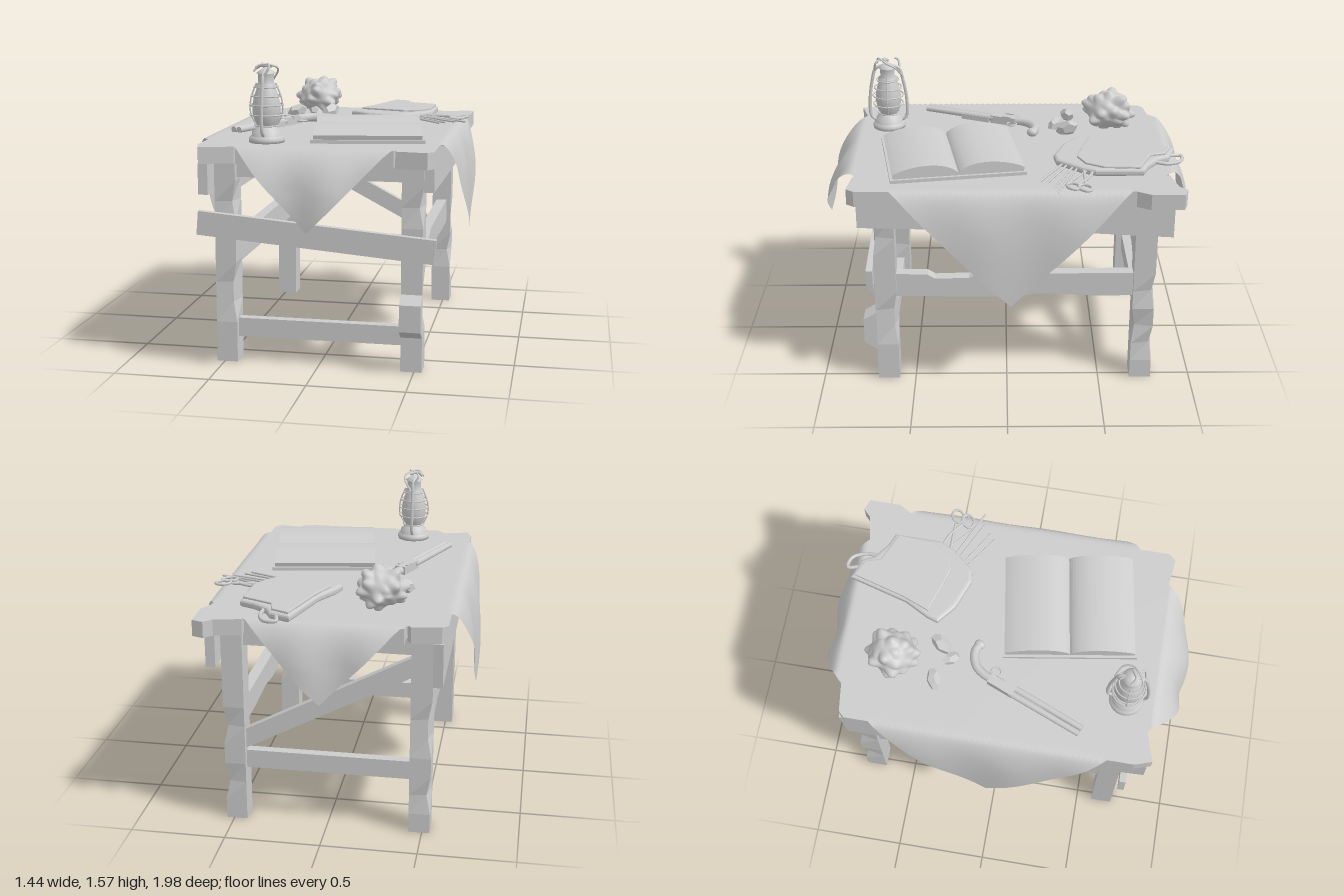
import * as THREE from 'three';
import { mergeVertices } from 'three/addons/utils/BufferGeometryUtils.js';

const V = (x, y, z) => new THREE.Vector3(x, y, z);
const flat = new THREE.MeshStandardMaterial({ color: 0xcccccc, flatShading: true });
const smooth = new THREE.MeshStandardMaterial({ color: 0xcccccc });
const thin = new THREE.MeshStandardMaterial({ color: 0xcccccc, side: THREE.DoubleSide });
const TOP = 1.165;

function add(parent, name, geo, mat = flat) {
  const mesh = new THREE.Mesh(geo, mat);
  mesh.name = name;
  parent.add(mesh);
  return mesh;
}
function group(parent, name, x, y, z, ry = 0) {
  const g = new THREE.Group();
  g.name = name;
  g.position.set(x, y, z);
  g.rotation.y = ry;
  parent.add(g);
  return g;
}
const polygon = pts => new THREE.Shape(pts.map(p => new THREE.Vector2(p[0], p[1])));
// plate outlined in (x, z), rising from y0
function plate(pts, y0, h, bevel = 0) {
  const g = new THREE.ExtrudeGeometry(polygon(pts.map(([x, z]) => [x, -z])), {
    depth: h - 2 * bevel, bevelEnabled: bevel > 0, bevelSize: bevel * 1.5,
    bevelThickness: bevel, bevelOffset: -bevel * 1.5, bevelSegments: 3 });
  return g.rotateX(-Math.PI / 2).translate(0, y0 + bevel, 0);
}
// board outlined in (z, y), centred on x
function sideBoard(pts, x, t) {
  const g = new THREE.ExtrudeGeometry(polygon(pts), { depth: t, bevelEnabled: false });
  return g.rotateY(-Math.PI / 2).translate(x + t / 2, 0, 0);
}
// straight beam between two points
function beam(parent, name, a, b, h, d) {
  const dir = b.clone().sub(a);
  const m = add(parent, name, new THREE.BoxGeometry(dir.length(), h, d));
  m.position.copy(a).add(b).multiplyScalar(0.5);
  m.quaternion.setFromUnitVectors(V(1, 0, 0), dir.normalize());
}
function rod(parent, name, pts, r, n = 24) {
  return add(parent, name, new THREE.TubeGeometry(new THREE.CatmullRomCurve3(pts), n, r, 8), smooth);
}
function ring(parent, name, r, t, x, y, z) {
  const m = add(parent, name, new THREE.TorusGeometry(r, t, 8, 28).rotateX(Math.PI / 2), smooth);
  m.position.set(x, y, z);
  return m;
}

// square leg with a few chipped corners
function leg(parent, x, z, chips) {
  const geo = new THREE.BoxGeometry(0.11, 1.07, 0.115, 1, 10, 1), p = geo.attributes.position;
  for (let i = 0; i < p.count; i++) {
    const row = Math.round((p.getY(i) / 1.07 + 0.5) * 10);
    for (const [r, sx, sz] of chips)
      if (r === row && Math.sign(p.getX(i)) === sx && Math.sign(p.getZ(i)) === sz) {
        p.setX(i, p.getX(i) * 0.62);
        p.setZ(i, p.getZ(i) * 0.72);
      }
  }
  add(parent, 'leg', geo).position.set(x, 0.535, z);
}

function buildTable(root) {
  const t = group(root, 'table', 0, 0, 0);
  // planks running front to back, outer ones with chipped corners
  const planks = [
    [[-0.61, -0.78], [-0.58, -0.81], [-0.43, -0.83], [-0.41, -0.8], [-0.41, 0.79], [-0.58, 0.84], [-0.61, 0.75]],
    [[0.41, -0.85], [0.55, -0.88], [0.59, -0.92], [0.65, -0.9], [0.65, -0.73], [0.61, -0.66], [0.6, 0.78], [0.57, 0.82], [0.41, 0.8]]];
  for (let i = 0; i < 4; i++) {
    const x = -0.4 + i * 0.2025, e = 0.015 * (i % 2);
    planks.push([[x, -0.86 + e], [x + 0.192, -0.86 + e], [x + 0.192, 0.8 - e], [x, 0.8 - e]]);
  }
  planks.forEach(p => add(t, 'plank', plate(p, 1.07, 0.085)));
  // legs
  leg(t, -0.485, 0.645, [[4, 1, 1], [3, 1, 1], [8, 1, 1]]);
  leg(t, 0.485, 0.645, [[4, 1, -1], [3, 1, -1], [8, 1, 1]]);
  leg(t, -0.485, -0.73, [[2, -1, -1], [5, -1, -1], [6, -1, -1]]);
  leg(t, 0.485, -0.73, [[2, 1, -1], [5, 1, -1], [3, 1, 1]]);
  // long rails and aprons down each side
  for (const s of [-1, 1])
    add(t, 'sideRail', sideBoard([[0.6, 0.5], [-0.03, 0.495], [-0.18, 0.515], [-0.45, 0.5], [-0.68, 0.5],
      [-0.68, 0.635], [0.15, 0.635], [0.2, 0.61], [0.38, 0.605], [0.42, 0.63], [0.6, 0.635]], s * 0.485, 0.06));
  add(t, 'sideApron', sideBoard([[0.77, 0.95], [-0.35, 0.92], [-0.86, 0.89], [-0.86, 1.07], [0.77, 1.07]], 0.575, 0.05));
  add(t, 'sideApron', sideBoard([[0.82, 0.91], [0.26, 0.84], [-0.8, 0.83], [-0.82, 1.07], [0.82, 1.07]], -0.565, 0.05));
  // cross members
  for (const z of [0.645, -0.73]) beam(t, 'endApron', V(-0.44, 1.025, z), V(0.44, 1.025, z), 0.09, 0.05);
  beam(t, 'frontRail', V(-0.44, 0.18, 0.645), V(0.44, 0.18, 0.645), 0.1, 0.05);
  beam(t, 'backRail', V(-0.44, 0.34, -0.73), V(0.44, 0.34, -0.73), 0.1, 0.05);
  beam(t, 'backBrace', V(-0.47, 0.93, -0.73), V(0.47, 0.435, -0.73), 0.095, 0.045);
  beam(t, 'frontBoard', V(-0.625, 0.745, 0.72), V(0.605, 0.64, 0.72), 0.125, 0.035);
  add(t, 'legBlock', sideBoard([[0.7, 0.18], [0.77, 0.23], [0.77, 0.37], [0.7, 0.41]], 0.485, 0.11));
}

// diamond-laid square cloth, bent down past the table edges
function buildCloth(root) {
  const geo = new THREE.PlaneGeometry(2, 2, 80, 80), p = geo.attributes.position;
  const R = 1.24, fall = o => o * (1 - 0.4 * Math.exp(-o / 0.06));
  for (let i = 0; i < p.count; i++) {
    const a = p.getX(i), b = p.getY(i);
    let x = R * (a + b) / 2, z = R * (a - b) / 2 - 0.02, y = TOP;
    const ox = Math.abs(x) - 0.62, oz = z > 0 ? z - 0.82 : -z - 0.87;
    if (ox > 0) {
      y -= fall(ox);
      x = Math.sign(x) * (0.62 + 0.095 * (1 - Math.exp(-ox / 0.13)) + 0.008 * Math.sin(z * 13) * Math.min(1, ox * 5));
    }
    if (oz > 0) {
      y -= fall(oz);
      const flare = z > 0 ? 0.165 : 0.12;
      z = Math.sign(z) * (Math.abs(z) - oz + flare * (1 - Math.exp(-oz / 0.12)) + 0.015 * Math.sin(x * 17) * Math.min(1, oz * 5));
    }
    p.setXYZ(i, x, y, z);
  }
  geo.computeVertexNormals();
  add(root, 'tablecloth', geo, thin);
}

function buildBook(root) {
  const b = group(root, 'openBook', 0.19, TOP, 0.29, 0.157);
  add(b, 'cover', new THREE.BoxGeometry(0.58, 0.018, 0.71)).position.y = 0.009;
  for (const s of [-1, 1]) {
    const sh = new THREE.Shape().moveTo(0, 0.018);
    sh.lineTo(s * 0.34, 0.018).lineTo(s * 0.345, 0.04);
    sh.bezierCurveTo(s * 0.25, 0.09, s * 0.06, 0.105, 0, 0.03);
    const g = new THREE.ExtrudeGeometry(sh, { depth: 0.55, bevelEnabled: false, curveSegments: 20 });
    add(b, 'pages', g.rotateY(-Math.PI / 2).translate(0.275, 0, 0), smooth);
  }
}

function buildLantern(root) {
  const l = group(root, 'lantern', -0.27, TOP, 0.66);
  const lathe = (name, pts) => add(l, name,
    new THREE.LatheGeometry(pts.map(p => new THREE.Vector2(p[0], p[1])), 28), thin);
  lathe('fuelTank', [[0, 0], [0.09, 0], [0.092, 0.015], [0.085, 0.03], [0.075, 0.034], [0.074, 0.055], [0.05, 0.075], [0.045, 0.085]]);
  lathe('globe', [[0.045, 0.08], [0.062, 0.11], [0.07, 0.15], [0.071, 0.19], [0.06, 0.24], [0.045, 0.28]]);
  lathe('chimney', [[0.052, 0.275], [0.054, 0.29], [0.04, 0.3], [0.04, 0.345], [0.05, 0.35], [0.03, 0.365], [0.012, 0.375], [0, 0.375]]);
  for (const [y, r] of [[0.085, 0.06], [0.14, 0.083], [0.19, 0.085], [0.235, 0.075], [0.28, 0.06]])
    ring(l, 'guardRing', r, 0.004, 0, y, 0);
  // side tubes and guard wires
  for (const s of [-1, 1]) {
    rod(l, 'sideTube', [V(0, 0.04, s * 0.07), V(0, 0.06, s * 0.098), V(0, 0.16, s * 0.103), V(0, 0.28, s * 0.085),
      V(0, 0.345, s * 0.065), V(0, 0.36, s * 0.03)], 0.009);
    rod(l, 'guardWire', [V(s * 0.055, 0.085, 0), V(s * 0.083, 0.15, 0), V(s * 0.08, 0.22, 0), V(s * 0.05, 0.3, 0)], 0.004);
    rod(l, 'handleEnd', [V(0, 0.33, s * 0.07), V(s * 0.03, 0.385, s * 0.06), V(s * 0.02, 0.4, s * 0.04)], 0.006);
  }
  rod(l, 'handle', [V(0.01, 0.3, -0.085), V(0.05, 0.36, -0.05), V(0.045, 0.385, 0), V(-0.02, 0.395, 0.05), V(-0.05, 0.36, 0.06)], 0.005);
  rod(l, 'topLoop', [V(-0.05, 0.375, 0), V(-0.02, 0.39, 0.02), V(0.03, 0.385, 0)], 0.009);
}

// knobbly clump with loose pieces beside it
function buildClump(root) {
  const c = group(root, 'knobblyClump', -0.25, TOP + 0.095, -0.58);
  const knobs = Array.from({ length: 38 }, (_, i) => {
    const y = 1 - 2 * (i + 0.5) / 38, r = Math.sqrt(1 - y * y), a = i * 2.4 + Math.sin(i * 7) * 0.3;
    return { d: V(Math.cos(a) * r, y, Math.sin(a) * r), h: 0.2 + 0.13 * Math.sin(i * 5.3) };
  });
  let geo = new THREE.SphereGeometry(1, 64, 44);
  geo.deleteAttribute('uv');
  geo.deleteAttribute('normal');
  geo = mergeVertices(geo, 1e-4);
  const p = geo.attributes.position, v = V(0, 0, 0);
  for (let i = 0; i < p.count; i++) {
    v.fromBufferAttribute(p, i).normalize();
    const bump = Math.max(...knobs.map(k => k.h * Math.exp(-v.distanceToSquared(k.d) / 0.06)));
    v.multiplyScalar(0.82 + bump);
    p.setXYZ(i, v.x * 0.13, v.y * (v.y > 0 ? 0.128 : 0.1), v.z * 0.145);
  }
  geo.computeVertexNormals();
  add(c, 'clump', geo, smooth);
  [[-0.34, -0.35, 0.4, 1], [-0.14, -0.34, 1.1, 1.15], [-0.21, -0.28, 2.3, 0.9]].forEach(([x, z, a, s]) => {
    const m = add(root, 'loosePiece', new THREE.DodecahedronGeometry(1, 0));
    m.scale.set(0.062 * s, 0.038 * s, 0.036 * s);
    m.position.set(x, TOP + 0.036, z);
    m.rotation.set(0.2, a, 0.25);
  });
}

function buildGun(root) {
  const g = group(root, 'shortShotgun', -0.28, TOP + 0.024, -0.06, -0.39);
  for (const s of [-1, 1]) {
    const barrel = add(g, 'barrel', new THREE.CylinderGeometry(0.016, 0.018, 0.42, 16).rotateX(Math.PI / 2), smooth);
    barrel.position.set(s * 0.017, 0.004, 0.34);
    const hammer = add(g, 'hammer', new THREE.BoxGeometry(0.012, 0.02, 0.05));
    hammer.position.set(s * 0.026, 0.018, 0.05);
  }
  add(g, 'receiver', new THREE.BoxGeometry(0.062, 0.044, 0.15)).position.z = 0.075;
  add(g, 'foreEnd', new THREE.BoxGeometry(0.048, 0.03, 0.17)).position.set(0.012, -0.006, 0.24);
  // curved grip, swelling toward the butt
  const path = [V(0, 0, 0.03), V(0, 0, -0.04), V(0.015, 0, -0.09), V(0.05, 0, -0.128), V(0.095, 0, -0.148), V(0.13, 0, -0.145)];
  rod(g, 'grip', path, 0.024);
  const butt = add(g, 'butt', new THREE.SphereGeometry(0.03, 16, 12), smooth);
  butt.position.copy(path[5]);
  butt.scale.set(0.8, 0.8, 1);
  ring(g, 'triggerGuard', 0.026, 0.005, 0.045, -0.004, 0.01);
}

function buildPouch(root) {
  const k = group(root, 'toolPouch', 0, 0, 0);
  add(k, 'pouchBody', plate([[0.16, -0.9], [0.27, -0.86], [0.3, -0.8], [0.38, -0.74], [0.45, -0.71], [0.45, -0.46], [0.41, -0.38],
    [0.31, -0.26], [0.24, -0.25], [0.08, -0.31], [-0.02, -0.39], [0.0, -0.45], [0.07, -0.58]], TOP, 0.042, 0.014));
  add(k, 'flap', plate([[0.17, -0.88], [0.26, -0.84], [0.28, -0.76], [0.37, -0.72], [0.44, -0.69], [0.43, -0.5], [0.38, -0.41],
    [0.29, -0.37], [0.18, -0.4], [0.03, -0.45], [0.09, -0.6]], TOP + 0.038, 0.016, 0.005));
  rod(k, 'strap', [V(0.23, 1.19, -0.87), V(0.22, 1.185, -0.93), V(0.28, 1.18, -0.92), V(0.315, 1.18, -0.85), V(0.31, 1.19, -0.77)], 0.01);
  // scissors
  rod(k, 'scissorBlade', [V(0.38, 1.19, -0.46), V(0.5, 1.185, -0.42), V(0.58, 1.182, -0.36)], 0.008);
  rod(k, 'scissorBlade', [V(0.38, 1.19, -0.4), V(0.48, 1.185, -0.4), V(0.57, 1.182, -0.4)], 0.008);
  for (const [x, z] of [[0.62, -0.395], [0.6, -0.335]]) {
    const r = ring(k, 'scissorHandle', 0.04, 0.008, x, 1.182, z);
    r.scale.z = 0.75;
    r.rotation.y = 0.5;
  }
  // thin tools fanning out of the pouch
  [[0.36, -0.38, 0.66, -0.25], [0.36, -0.35, 0.6, -0.24], [0.34, -0.32, 0.55, -0.2], [0.32, -0.3, 0.52, -0.17], [0.4, -0.43, 0.56, -0.3]]
    .forEach(([x0, z0, x1, z1]) => rod(k, 'thinTool', [V(x0, 1.188, z0), V(x1, 1.172, z1)], 0.006, 4));
}

export function createModel() {
  const root = new THREE.Group();
  root.name = 'workTable';
  [buildTable, buildCloth, buildBook, buildLantern, buildClump, buildGun, buildPouch].forEach(build => build(root));
  return root;
}
